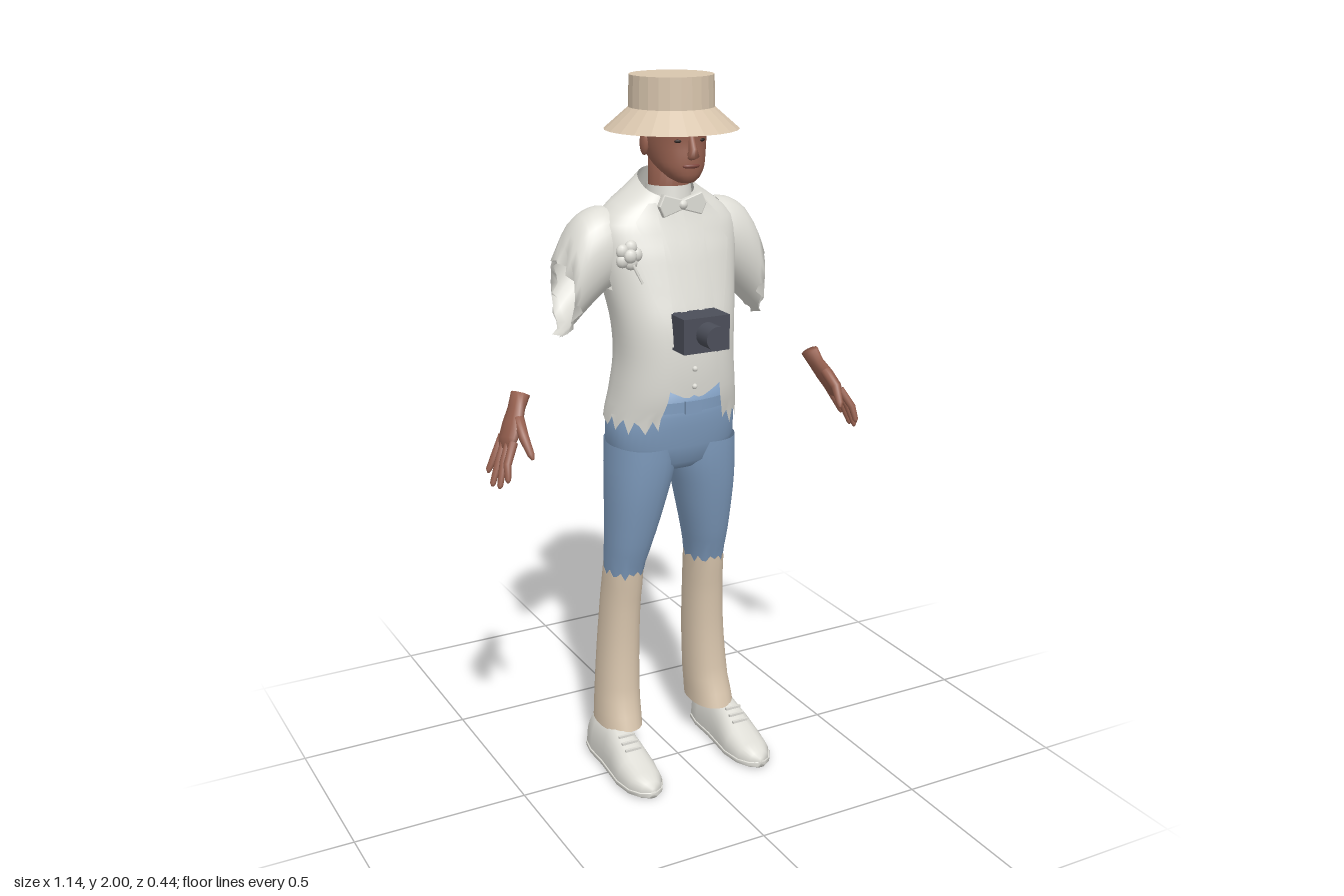
import * as THREE from 'three';

const mat = (name, color, side = THREE.FrontSide) => {
  const m = new THREE.MeshStandardMaterial({ color, side });
  m.name = name;
  return m;
};

// Skin over a stack of rings; rings run counter-clockwise seen from the stack's far end
function loft(rings, { closed = true, caps = false, skip = null } = {}) {
  const n = rings[0].length, pos = rings.flat(2), idx = [], cols = closed ? n : n - 1;
  for (let j = 0; j < rings.length - 1; j++) for (let i = 0; i < cols; i++) {
    if (skip && skip(rings[j][i], rings[j + 1][(i + 1) % n])) continue;
    const a = j * n + i, b = j * n + (i + 1) % n;
    idx.push(a, b, b + n, a, b + n, a + n);
  }
  if (caps) [0, rings.length - 1].forEach((j, end) => {
    const c = pos.length / 3;
    pos.push(...[0, 1, 2].map(k => rings[j].reduce((s, p) => s + p[k], 0) / n));
    for (let i = 0; i < n; i++) {
      const a = j * n + i, b = j * n + (i + 1) % n;
      end ? idx.push(c, a, b) : idx.push(c, b, a);
    }
  });
  const g = new THREE.BufferGeometry();
  g.setAttribute('position', new THREE.Float32BufferAttribute(pos, 3));
  g.setIndex(idx);
  g.computeVertexNormals();
  return g;
}

// Smooth interpolation of a table whose first column is the rising key
function sample(table, key) {
  let i = 0;
  while (i < table.length - 2 && key > table[i + 1][0]) i++;
  const at = k => table[Math.max(0, Math.min(table.length - 1, k))];
  const [p, a, b, q] = [at(i - 1), at(i), at(i + 1), at(i + 2)];
  const t = Math.max(0, Math.min(1, (key - a[0]) / (b[0] - a[0])));
  return a.map((v, k) => {
    const m0 = (b[k] - p[k]) / 2, m1 = (q[k] - v) / 2, d = b[k] - v;
    return v + t * (m0 + t * (3 * d - 2 * m0 - m1 + t * (m0 + m1 - 2 * d)));
  });
}
const keys = (table, n) => Array.from({ length: n + 1 }, (_, i) =>
  table[0][0] + (table[table.length - 1][0] - table[0][0]) * i / n);
const pw = (v, e) => Math.sign(v) * Math.abs(v) ** e;

// Horizontal ring between x limits and z limits
function hRing(y, x0, x1, zf, zb, n, e = 0.9, jag = 0) {
  return Array.from({ length: n }, (_, i) => {
    const a = i / n * Math.PI * 2;
    return [(x0 + x1) / 2 + (x1 - x0) / 2 * pw(Math.sin(a), e),
      y + jag * Math.sin(i * 2.4), (zf + zb) / 2 + (zf - zb) / 2 * pw(Math.cos(a), e)];
  });
}

// Tapered tube through points, with half-sizes [side, thickness]
function limb(points, sizes, n = 10) {
  const P = points.map(p => new THREE.Vector3(...p));
  return loft(P.map((p, j) => {
    const d = P[Math.min(j + 1, P.length - 1)].clone().sub(P[Math.max(j - 1, 0)]).normalize();
    const v = new THREE.Vector3(0, 0, 1).addScaledVector(d, -d.z).normalize();
    const u = v.clone().cross(d);
    return Array.from({ length: n }, (_, i) => {
      const a = i / n * Math.PI * 2;
      return p.clone().addScaledVector(u, Math.cos(a) * sizes[j][1])
        .addScaledVector(v, Math.sin(a) * sizes[j][0]).toArray();
    });
  }), { caps: true });
}

// Jacket body: y, half width, front z, back z, half opening, tilt
const JACKET = [
  [1.07, 0.19, 0.088, -0.19, 0.1, 0], [1.15, 0.178, 0.106, -0.178, 0.08, 0],
  [1.25, 0.168, 0.11, -0.164, 0.07, 0], [1.35, 0.174, 0.1, -0.164, 0.07, 0],
  [1.45, 0.19, 0.072, -0.186, 0.07, 0], [1.54, 0.205, 0.045, -0.2, 0.072, 0],
  [1.61, 0.205, 0.018, -0.196, 0.073, 0], [1.665, 0.15, 0, -0.172, 0.06, 0.15],
  [1.715, 0.075, -0.002, -0.138, 0.045, 0.5]];
const E = 0.85;
function frontZ(x, y) {
  const [, hw, zf, zb] = sample(JACKET, y);
  const s = Math.min(0.99, Math.abs(x) / hw) ** (1 / E);
  return (zf + zb) / 2 + (zf - zb) / 2 * Math.sqrt(1 - s * s) ** E;
}
// Cloth panel lying on the jacket front; f(u, v) gives x, y and offset
const panel = (f, nu, nv) => loft(Array.from({ length: nv + 1 }, (_, j) =>
  Array.from({ length: nu + 1 }, (_, i) => {
    const [x, y, o] = f(i / nu, j / nv);
    return [x, y, frontZ(x, y) + o];
  })), { closed: false });

export function createModel() {
  const root = new THREE.Group();
  root.name = 'standingMan';
  const D = THREE.DoubleSide;
  const white = mat('off-white cloth', 0xdddcd5, D), blue = mat('blue denim', 0x7f9cbe, D);
  const beige = mat('beige cloth', 0xd8c5ad, D), skin = mat('brown skin', 0x96604f);
  const lip = mat('lip', 0x7d453c), dark = mat('dark grey', 0x4b4e59), eye = mat('eye', 0x2b211e);
  const add = (name, geo, m, x = 0, y = 0, z = 0, parent = root) => {
    const o = new THREE.Mesh(geo, m);
    o.name = name;
    o.position.set(x, y, z);
    parent.add(o);
    return o;
  };

  // Hat
  add('hatCrown', new THREE.CylinderGeometry(0.113, 0.115, 0.09, 24).toNonIndexed(), beige, 0, 1.955, -0.035);
  add('hatBrim', new THREE.CylinderGeometry(0.115, 0.181, 0.057, 24), beige, 0, 1.8875, -0.035);
  for (const n of ['hatCrown', 'hatBrim']) {
    const o = root.getObjectByName(n);
    if (o.geometry.index) o.geometry = o.geometry.toNonIndexed();
    o.geometry.computeVertexNormals();
  }

  // Head: y, half width, front z, back z
  const HEAD = [[1.728, 0.022, 0.066, 0.02], [1.74, 0.042, 0.076, -0.015], [1.765, 0.062, 0.08, -0.06],
    [1.795, 0.073, 0.08, -0.108], [1.83, 0.08, 0.077, -0.126], [1.88, 0.084, 0.08, -0.13]];
  add('head', loft(keys(HEAD, 14).map(y => {
    const [, w, f, b] = sample(HEAD, y);
    return hRing(y, -w, w, f, b, 28, 0.95);
  }), { caps: true }), skin);
  add('neck', loft([[1.62, 0.062, -0.005, -0.12], [1.7, 0.055, -0.002, -0.108], [1.8, 0.056, 0.01, -0.11]]
    .map(([y, w, f, b]) => hRing(y, -w, w, f, b, 20, 1)), { caps: true }), skin);
  add('nose', limb([[0, 1.85, 0.072], [0, 1.815, 0.084], [0, 1.802, 0.086], [0, 1.793, 0.076]],
    [[0.01, 0.008], [0.014, 0.011], [0.017, 0.016], [0.006, 0.012]]), skin);
  const lips = add('lips', new THREE.SphereGeometry(1, 14, 8), lip, 0, 1.773, 0.075);
  lips.scale.set(0.026, 0.007, 0.009);
  for (const s of [-1, 1]) {
    add('eye', new THREE.SphereGeometry(1, 10, 6), eye, s * 0.033, 1.838, 0.066).scale.set(0.013, 0.005, 0.006);
    add('ear', new THREE.SphereGeometry(1, 12, 8), skin, s * 0.082, 1.825, -0.035).scale.set(0.01, 0.032, 0.019);
  }

  // Jacket body, open in front and at the armholes
  const N = 48, rows = keys(JACKET, 26);
  add('jacketBody', loft(rows.map((y, j) => {
    const [, hw, zf, zb, gap, tilt] = sample(JACKET, y), a0 = Math.asin((gap / hw) ** (1 / E));
    return Array.from({ length: N + 1 }, (_, i) => {
      const a = a0 + (Math.PI * 2 - 2 * a0) * i / N, c = pw(Math.cos(a), E), h = (zf - zb) / 2;
      const torn = j === 0 && c > -0.2 ? 0.024 * Math.sin(i * 2.3) : 0;
      return [hw * pw(Math.sin(a), E), y - tilt * h * c + torn, (zf + zb) / 2 + h * c];
    });
  }), {
    closed: false,
    skip: (p, q) => p[1] > 1.43 && q[1] < 1.59 && Math.abs(p[0]) > 0.16 && p[2] > -0.165 && p[2] < -0.03,
  }), white);

  // Waistcoat and shirt front
  add('waistcoat', panel((u, v) => {
    const x = (u - 0.5) * 0.24, low = 1.145 + Math.abs(Math.abs(x) - 0.02) * 0.5;
    return [x, low + (1.665 - low) * v, -0.012];
  }, 16, 16), white);
  add('tie', panel((u, v) => [(u - 0.5) * (0.045 - 0.02 * v), 1.42 + 0.23 * v, 0.001], 4, 8), white);
  for (const y of [1.18, 1.23, 1.28])
    add('waistcoatButton', new THREE.SphereGeometry(0.008, 8, 6), white, 0, y, frontZ(0, y) - 0.012);
  add('shirtCollar', loft([[1.65, 0.068, 0.015, -0.125], [1.712, 0.06, 0.006, -0.116]]
    .map(([y, w, f, b]) => hRing(y, -w, w, f, b, 24, 1))), white);

  for (const s of [-1, 1]) {
    // Lapel with a notch, and waistcoat edge
    const LAPEL = [[1.3, 0.072], [1.45, 0.115], [1.57, 0.145], [1.585, 0.115], [1.62, 0.13], [1.67, 0.085]];
    add('lapel', panel((u, v) => {
      const y = 1.3 + 0.37 * v, k = LAPEL.findIndex(p => p[0] >= y - 1e-6), i = Math.max(1, k < 0 ? 5 : k);
      const [a, b] = [LAPEL[i - 1], LAPEL[i]], out = a[1] + (b[1] - a[1]) * (y - a[0]) / (b[0] - a[0]);
      return [s * (0.064 + (out - 0.064) * u), y, 0.007];
    }, 5, 24), white);
    add('waistcoatEdge', panel((u, v) =>
      [s * (0.012 + 0.045 * v + 0.018 * u), 1.35 + 0.27 * v, -0.004], 2, 10), white);
    // Bow tie wing
    const wing = new THREE.ExtrudeGeometry(new THREE.Shape([[0, -0.01], [0.055, -0.027], [0.068, 0],
      [0.055, 0.027], [0, 0.01]].map(p => new THREE.Vector2(...p))),
    { depth: 0.01, bevelSize: 0.003, bevelThickness: 0.004, bevelSegments: 2 });
    add('bowTieWing', wing, white, 0, 1.665, 0.018).scale.x = s;
  }
  add('bowTieKnot', new THREE.SphereGeometry(0.014, 12, 8), white, 0, 1.665, 0.026);

  // Flower in the buttonhole
  for (let i = 0; i < 6; i++) {
    const a = i / 5 * Math.PI * 2, r = i < 5 ? 0.022 : 0;
    add('flowerPetal', new THREE.SphereGeometry(0.019, 10, 8), white,
      -0.165 + r * Math.cos(a), 1.545 + r * Math.sin(a), 0.034 + (r ? 0 : 0.012)).scale.z = 0.7;
  }
  add('flowerStem', limb([[-0.16, 1.53, 0.04], [-0.135, 1.47, 0.056]], [[0.005, 0.005], [0.003, 0.003]], 6), white);

  // Camera on the chest with its straps
  add('cameraBox', new THREE.BoxGeometry(0.138, 0.096, 0.085), dark, 0, 1.34, 0.122);
  add('cameraLens', new THREE.CylinderGeometry(0.033, 0.033, 0.06, 20).rotateX(Math.PI / 2), dark, 0, 1.342, 0.192);

  // Trousers
  const HIPS = [[0.925, 0.1, 0.03, -0.13], [0.95, 0.165, 0.056, -0.163], [1.0, 0.188, 0.07, -0.173],
    [1.06, 0.187, 0.078, -0.178], [1.09, 0.176, 0.08, -0.174], [1.16, 0.155, 0.08, -0.155]];
  add('hips', loft(HIPS.map(([y, w, f, b]) => hRing(y, -w, w, f, b, 40, 0.85)), { caps: true }), blue);
  add('belt', loft([1.105, 1.135].map(y => hRing(y, -0.168, 0.168, 0.086, -0.16, 40, 0.85))), blue);
  add('beltBuckle', new THREE.BoxGeometry(0.05, 0.036, 0.009), blue, 0, 1.12, 0.09);

  // Legs, shoes and hands: y, inner x, outer x, front z, back z
  const THIGH = [[0.6, 0.08, 0.185, -0.02, -0.158], [0.68, 0.063, 0.188, 0.005, -0.153],
    [0.76, 0.043, 0.19, 0.027, -0.152], [0.85, 0.022, 0.192, 0.048, -0.157],
    [0.93, 0.003, 0.191, 0.062, -0.166], [1, 0, 0.187, 0.069, -0.172]];
  const SHIN = [[0.115, 0.092, 0.218, 0.003, -0.187], [0.2, 0.088, 0.211, -0.024, -0.187],
    [0.35, 0.085, 0.2, -0.035, -0.185], [0.5, 0.083, 0.191, -0.03, -0.174], [0.6, 0.079, 0.187, -0.018, -0.161]];
  // Shoe: z, half width, height
  const SHOE = [[-0.183, 0.02, 0.08], [-0.17, 0.042, 0.11], [-0.12, 0.052, 0.13], [-0.04, 0.052, 0.132],
    [0.02, 0.057, 0.112], [0.08, 0.062, 0.08], [0.14, 0.053, 0.06], [0.175, 0.032, 0.046], [0.188, 0.01, 0.03]];
  const shoe = (grow, cap) => loft(SHOE.map(([z, w, h]) => Array.from({ length: 24 }, (_, i) => {
    const a = i / 24 * Math.PI * 2, s = Math.sin(a), top = Math.min(h, cap);
    return [(w + grow) * pw(Math.cos(a), 0.8), s > 0 ? 0.016 + (top - 0.016) * s ** 0.9 : 0.016 * (1 - Math.abs(s) ** 0.3), z];
  })), { caps: true });
  // Sleeve cut off below the shoulder: x, low y, high y, half depth
  const SLEEVE = [[0.17, 1.43, 1.655, 0.09], [0.2, 1.41, 1.655, 0.092], [0.25, 1.365, 1.63, 0.09],
    [0.285, 1.33, 1.58, 0.082], [0.31, 1.31, 1.52, 0.074]];

  for (const s of [1, -1]) {
    const side = new THREE.Group();
    side.name = s > 0 ? 'leftLimbs' : 'rightLimbs';
    side.scale.x = s;
    root.add(side);
    const part = (name, geo, m, x, y, z) => add(name, geo, m, x, y, z, side);
    const leg = (table, torn) => loft(keys(table, 12).map((y, j) => {
      const [, a, b, f, k] = sample(table, y);
      return hRing(y, a, b, f, k, 28, 0.9, j === torn ? 0.012 : 0);
    }));
    part('thigh', leg(THIGH, 0), blue);
    part('shin', leg(SHIN, 12), beige);
    part('shoe', shoe(0, 1), white, 0.18, 0, 0);
    part('shoeSole', shoe(0.004, 0.02), white, 0.18, 0, 0);
    for (let i = 0; i < 3; i++)
      part('shoeLace', new THREE.BoxGeometry(0.05, 0.007, 0.008), white, 0.18, 0.117 - i * 0.012, 0.018 + i * 0.021);

    part('sleeve', loft(keys(SLEEVE, 8).map((k, j) => Array.from({ length: 24 }, (_, i) => {
      const [x, lo, hi, d] = sample(SLEEVE, k), a = i / 24 * Math.PI * 2;
      const torn = j === 8 ? 0.014 * Math.sin(i * 2.5) - 0.03 * Math.abs(Math.sin(a)) ** 2 : 0;
      return [x + torn, (lo + hi) / 2 + (hi - lo) / 2 * Math.cos(a), -0.107 + d * Math.sin(a)];
    }))), white);

    const hand = (name, pts, sizes) => part(name, limb(pts, sizes), skin);
    hand('palm', [[0.455, 1.19, -0.035], [0.472, 1.155, -0.025], [0.492, 1.12, -0.006], [0.512, 1.085, 0.008], [0.522, 1.06, 0.014]],
      [[0.032, 0.024], [0.032, 0.02], [0.043, 0.021], [0.046, 0.018], [0.038, 0.011]]);
    const TIPS = [[0.545, 0.99, 0.082], [0.558, 0.968, 0.056], [0.565, 0.965, 0.022], [0.56, 0.99, -0.018]];
    TIPS.forEach(([x, y, z], i) => {
      const k = 0.046 - i * 0.025;
      hand('finger', [[0.512, 1.085, k], [0.54, 1.035, (k + z) / 2 + 0.004], [x, y + 0.008, z], [x + 0.001, y, z]],
        [[0.012, 0.012], [0.011, 0.011], [0.008, 0.008], [0.003, 0.003]]);
    });
    hand('thumb', [[0.482, 1.135, 0.012], [0.488, 1.1, 0.06], [0.482, 1.06, 0.09], [0.48, 1.048, 0.097]],
      [[0.016, 0.016], [0.014, 0.014], [0.01, 0.01], [0.004, 0.004]]);
  }
  return root;
}
